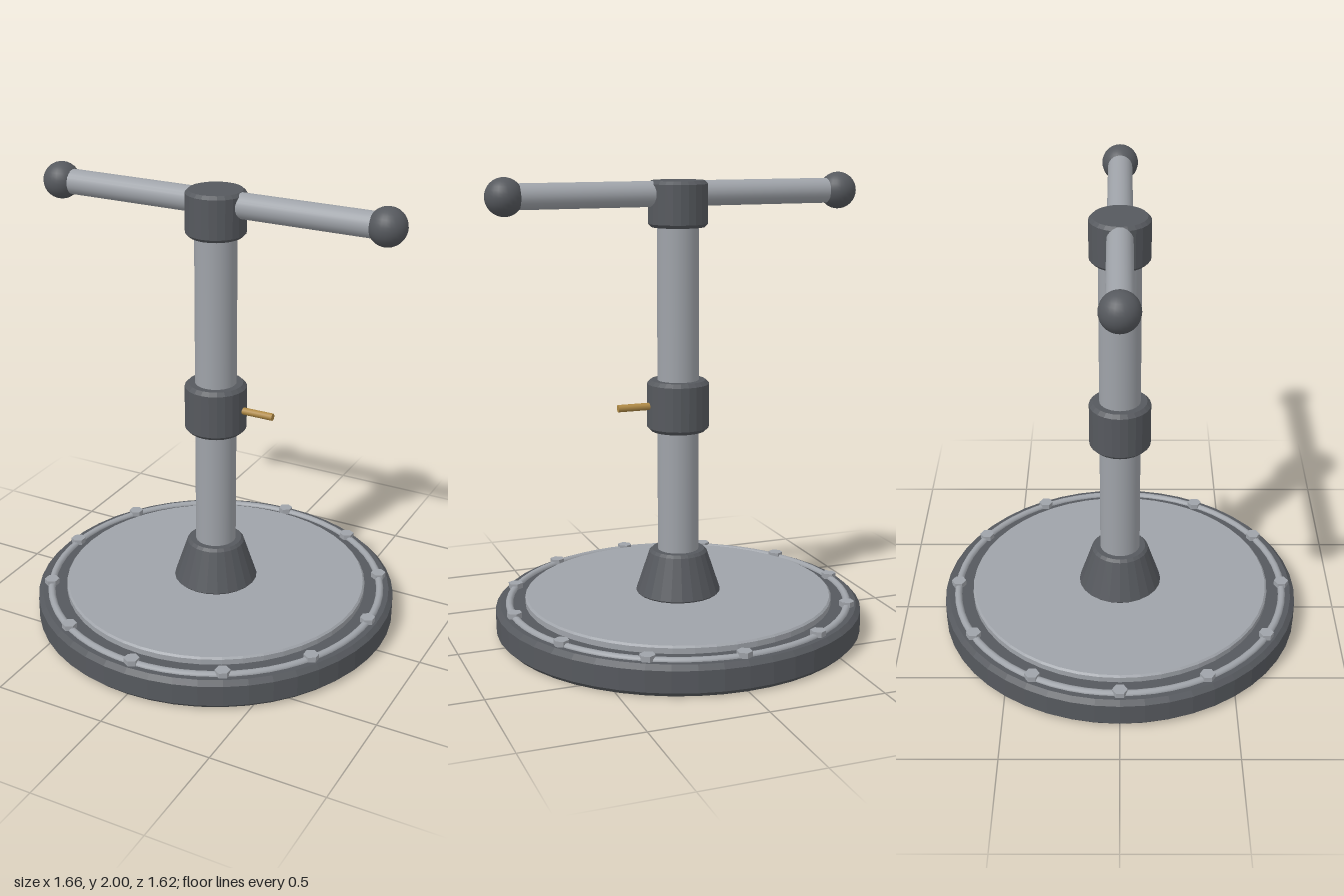
import * as THREE from 'three';

const material = (color, flatShading = false) => {
  const m = new THREE.MeshStandardMaterial({ color });
  m.flatShading = flatShading;
  return m;
};

export function createModel() {
  const group = new THREE.Group();
  const dark = material(0x56595e);
  const darkFlat = material(0x56595e, true);
  const steel = material(0x9fa3a9);
  const steelFlat = material(0x9fa3a9, true);
  const brass = material(0xb08a45);

  const add = (name, geometry, mat, x = 0, y = 0, z = 0) => {
    const mesh = new THREE.Mesh(geometry, mat);
    mesh.name = name;
    mesh.position.set(x, y, z);
    group.add(mesh);
    return mesh;
  };

  // Solid turned part with bevelled top and bottom edges
  const turned = (name, rBottom, rTop, y0, y1, bevel, sides, mat) => {
    const profile = [
      [0, y0], [rBottom - bevel, y0], [rBottom, y0 + bevel],
      [rTop, y1 - bevel], [rTop - bevel, y1], [0, y1],
    ].map(([r, y]) => new THREE.Vector2(r, y));
    return add(name, new THREE.LatheGeometry(profile, sides), mat);
  };

  // Round base, raised plate and trim ring
  turned('base', 0.81, 0.81, 0, 0.133, 0.02, 48, darkFlat);
  turned('basePlate', 0.68, 0.68, 0.12, 0.165, 0.008, 48, steelFlat);
  const ring = add('trimRing', new THREE.TorusGeometry(0.75, 0.017, 10, 64), steel, 0, 0.131, 0);
  ring.rotation.x = Math.PI / 2;

  // Hexagonal bolts around the rim
  const boltGeometry = new THREE.CylinderGeometry(0.033, 0.033, 0.04, 6);
  for (let i = 0; i < 12; i++) {
    const a = (i / 12) * Math.PI * 2;
    add('bolt' + (i + 1), boltGeometry, steelFlat, Math.cos(a) * 0.75, 0.137, Math.sin(a) * 0.75);
  }

  // Column with its tapered foot, collar and head
  add('column', new THREE.CylinderGeometry(0.09, 0.09, 1.7, 28), steel, 0, 1.0, 0);
  turned('columnFoot', 0.187, 0.128, 0.16, 0.362, 0.012, 24, darkFlat);
  turned('collar', 0.135, 0.135, 0.9, 1.123, 0.016, 24, darkFlat);
  turned('headHub', 0.128, 0.128, 1.78, 1.975, 0.014, 24, darkFlat);

  // Locking pin on the left of the collar
  const pin = add('lockingPin', new THREE.CylinderGeometry(0.016, 0.016, 0.175, 10), brass, 0.187, 1.013, 0);
  pin.rotation.z = Math.PI / 2;

  // Cross handle with a ball on each end
  const handle = add('handleBar', new THREE.CylinderGeometry(0.054, 0.054, 1.5, 24), steel, 0, 1.92, 0);
  handle.rotation.z = Math.PI / 2;
  for (const side of [-1, 1]) {
    add(side > 0 ? 'leftKnob' : 'rightKnob', new THREE.SphereGeometry(0.08, 24, 16), dark, side * 0.75, 1.92, 0);
  }

  return group;
}
